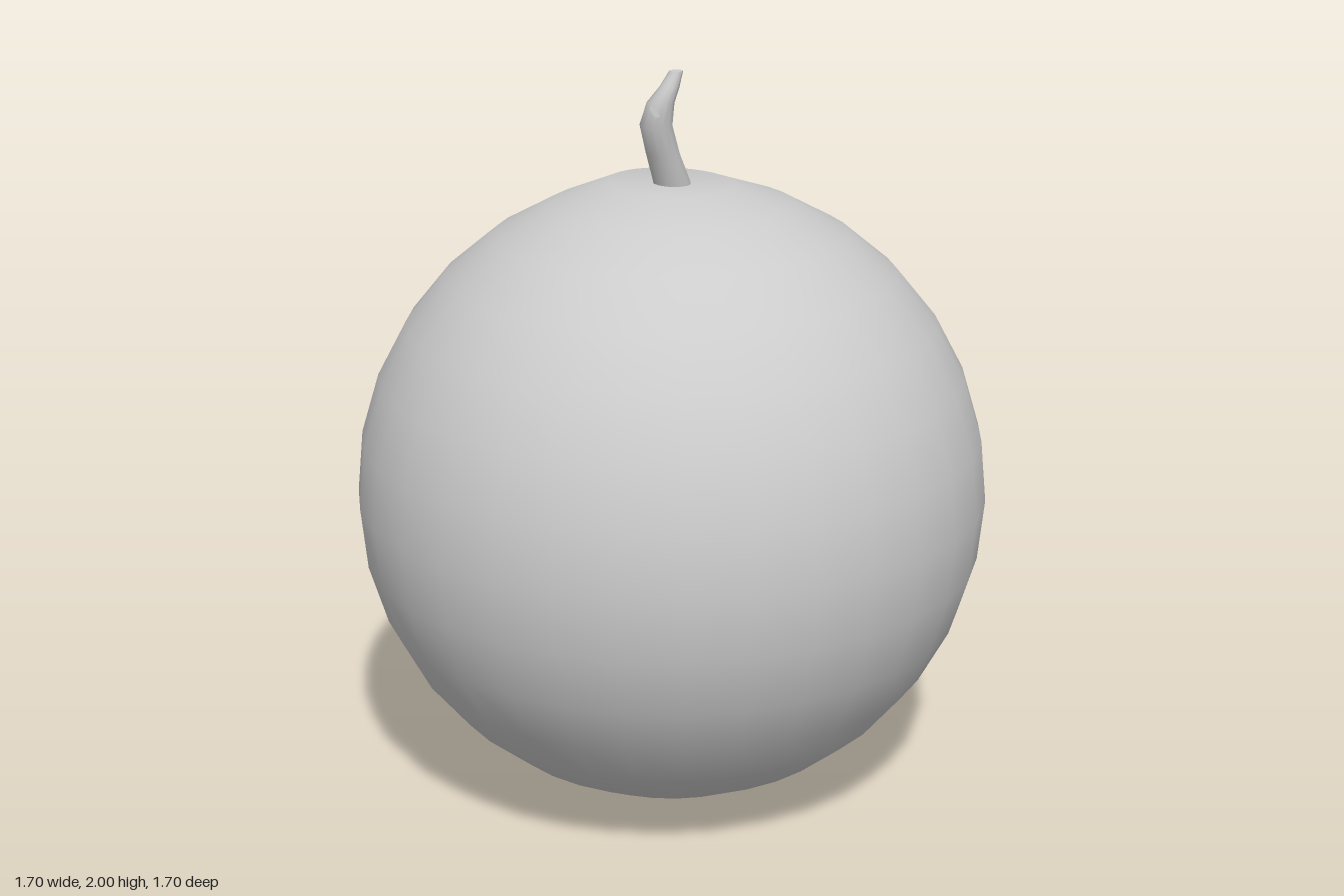
import * as THREE from 'three';
import { mergeVertices } from 'three/addons/utils/BufferGeometryUtils.js';

const grey = new THREE.MeshStandardMaterial({ color: 0xcccccc });
const thin = new THREE.MeshStandardMaterial({ color: 0xcccccc, side: THREE.DoubleSide });

function addPart(group, name, geometry, material = grey) {
  const mesh = new THREE.Mesh(geometry, material);
  mesh.name = name;
  group.add(mesh);
}

// Round body with a slightly flattened, tilted crown
function bodyGeometry() {
  const R = 0.85;
  const geo = new THREE.SphereGeometry(R, 32, 16);
  const p = geo.attributes.position;
  for (let i = 0; i < p.count; i++) {
    if (p.getY(i) > 0.83) {
      const onRing = Math.hypot(p.getX(i), p.getZ(i)) > 0.05;
      p.setY(i, onRing ? 0.843 - p.getX(i) * 0.04 : 0.838);
    }
  }
  geo.translate(0, R + 0.005, 0);
  return geo;
}

// Bent, tapering stalk lofted through level rings [x, y, z, radius]
function stemGeometry() {
  const rings = [
    [0, 1.67, -0.01, 0.052], [0, 1.70, 0, 0.05], [-0.018, 1.78, 0.034, 0.045],
    [-0.031, 1.86, 0.064, 0.043], [-0.018, 1.92, 0.068, 0.036],
    [0.004, 1.96, 0.061, 0.026], [0.02, 2.0, 0.053, 0.018],
  ];
  const sides = 12, pos = [], idx = [];
  for (const [x, y, z, r] of rings)
    for (let i = 0; i < sides; i++) {
      const a = (i / sides) * Math.PI * 2;
      pos.push(x + r * Math.sin(a), y, z + r * Math.cos(a));
    }
  for (let k = 0; k < rings.length - 1; k++)
    for (let i = 0; i < sides; i++) {
      const a = k * sides + i, b = k * sides + (i + 1) % sides;
      idx.push(a, b, b + sides, a, b + sides, a + sides);
    }
  const geo = new THREE.BufferGeometry();
  geo.setAttribute('position', new THREE.Float32BufferAttribute(pos, 3));
  geo.setIndex(idx);
  geo.computeVertexNormals();
  return geo;
}

// Small pointed leaf, lying along +z and rolled to one side
function leafGeometry() {
  const outline = new THREE.Shape();
  outline.moveTo(0, 0);
  outline.quadraticCurveTo(0.028, 0.05, 0.012, 0.085);
  outline.lineTo(0, 0.115);
  outline.lineTo(-0.014, 0.085);
  outline.quadraticCurveTo(-0.026, 0.05, 0, 0);
  const geo = mergeVertices(new THREE.ShapeGeometry(outline, 4));
  geo.rotateX(Math.PI / 2);
  geo.rotateZ(-Math.PI / 4);
  geo.rotateY(0.12);
  geo.translate(-0.025, 1.912, 0.103);
  return geo;
}

export function createModel() {
  const model = new THREE.Group();
  model.name = 'roundFruit';
  addPart(model, 'body', bodyGeometry());

  addPart(model, 'stem', stemGeometry());
  const cap = new THREE.CircleGeometry(0.018, 12);
  cap.rotateX(-Math.PI / 2);
  cap.translate(0.02, 2.0, 0.053);
  addPart(model, 'stemTip', cap);

  addPart(model, 'leaf', leafGeometry(), thin);
  return model;
}
